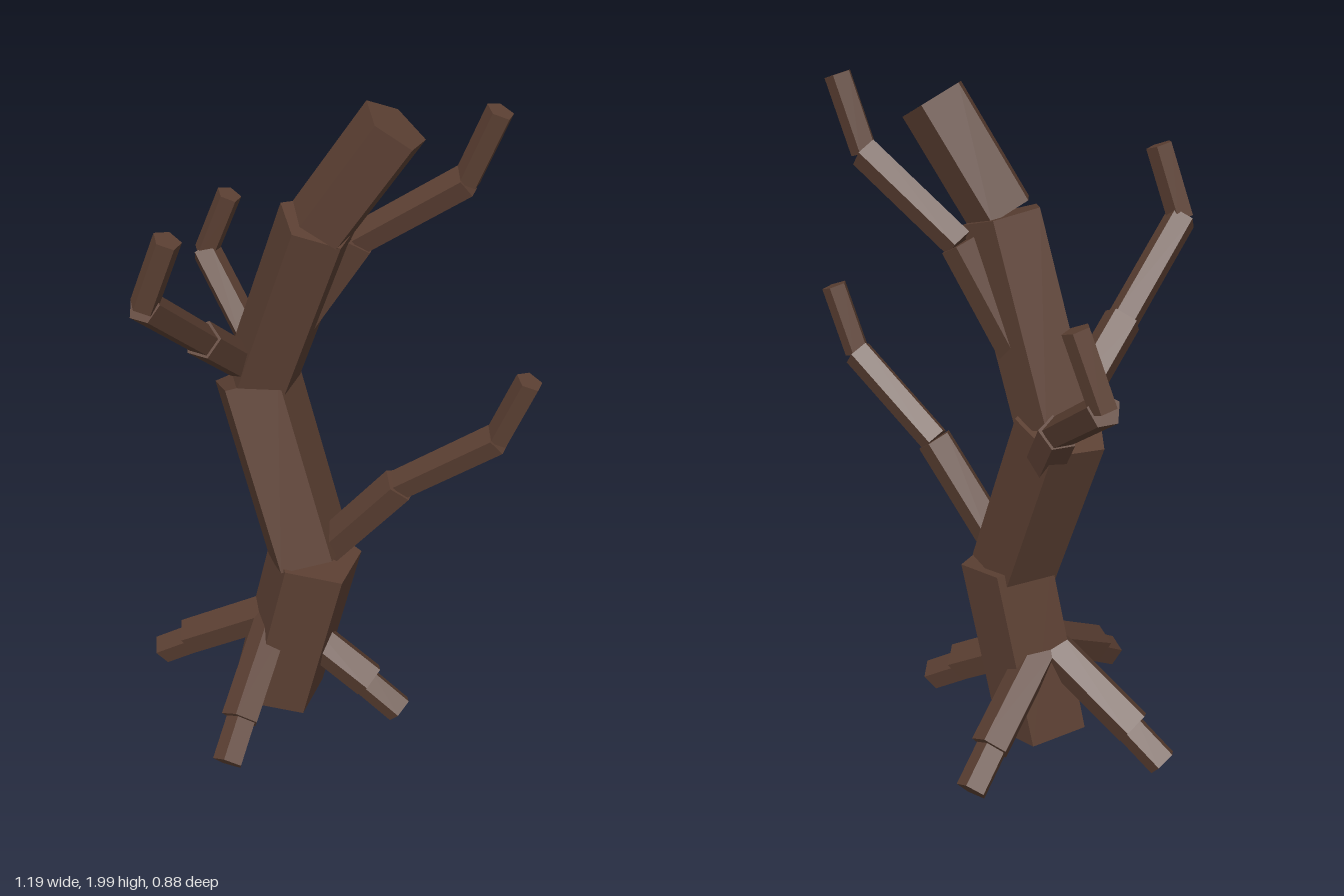
import * as THREE from 'three';

const V = (p) => new THREE.Vector3(...p);
const LEFT = [-1, 0, 0];
const UP = [0, 1, 0];

export function createModel() {
  const tree = new THREE.Group();
  tree.name = 'bareTree';
  const bark = new THREE.MeshStandardMaterial({ color: 0x5c4033, flatShading: true });
  bark.name = 'brown bark';

  // Five-sided log from a to b, with one ridge turned towards ref
  function log(name, a, b, radius, ref, parent = tree) {
    const start = V(a), end = V(b);
    const axis = end.clone().sub(start);
    const length = axis.length();
    axis.normalize();
    const ridge = V(ref).addScaledVector(axis, -V(ref).dot(axis)).normalize();
    const side = ridge.clone().cross(axis);
    const geometry = new THREE.CylinderGeometry(radius, radius, length, 5, 1, false, Math.PI / 2);
    geometry.applyMatrix4(new THREE.Matrix4().makeBasis(ridge, axis, side));
    const mesh = new THREE.Mesh(geometry, bark);
    mesh.position.copy(start).add(end).multiplyScalar(0.5);
    mesh.name = name;
    parent.add(mesh);
  }

  // Zigzag trunk
  log('lowerTrunk', [-0.17, 0.035, -0.01], [-0.043, 0.588, -0.01], 0.145, LEFT);
  log('middleTrunk', [-0.064, 0.58, -0.005], [-0.26, 1.115, -0.09], 0.132, LEFT);
  log('upperTrunk', [-0.235, 1.12, -0.085], [-0.045, 1.652, -0.045], 0.113, LEFT);
  log('trunkTop', [-0.035, 1.65, -0.035], [0.153, 1.938, -0.07], 0.096, LEFT);

  // Branches: two sloping pieces and a steeper tip
  const branches = {
    lowerLeftBranch: [[0, 0.625, -0.01], [0.215, 0.9, -0.01], [0.485, 1.115, -0.01], [0.56, 1.31, -0.01]],
    upperLeftBranch: [[-0.18, 1.22, -0.1], [0.04, 1.58, -0.125], [0.325, 1.785, -0.145], [0.402, 1.982, -0.145]],
    backBranch: [[-0.16, 0.87, -0.08], [-0.31, 1.15, -0.2], [-0.525, 1.34, -0.355], [-0.445, 1.535, -0.36]],
    frontBranch: [[-0.275, 1.17, -0.05], [-0.305, 1.345, 0.15], [-0.342, 1.565, 0.4], [-0.265, 1.76, 0.4]],
  };
  for (const [name, p] of Object.entries(branches)) {
    const branch = new THREE.Group();
    branch.name = name;
    log('branchBase', p[0], p[1], 0.055, UP, branch);
    log('branchMiddle', p[1], p[2], 0.046, UP, branch);
    log('branchTip', p[2], p[3], 0.038, LEFT, branch);
    tree.add(branch);
  }

  // Four roots spread around the foot
  for (let i = 0; i < 4; i++) {
    const root = new THREE.Group();
    root.name = 'root' + (i + 1);
    root.position.set(-0.17, 0, -0.01);
    root.rotation.y = (i * Math.PI) / 2;
    log('rootBase', [0.02, 0.325, 0], [0.305, 0.138, 0], 0.06, UP, root);
    log('rootTip', [0.28, 0.14, 0], [0.406, 0.05, 0], 0.048, UP, root);
    tree.add(root);
  }
  return tree;
}
